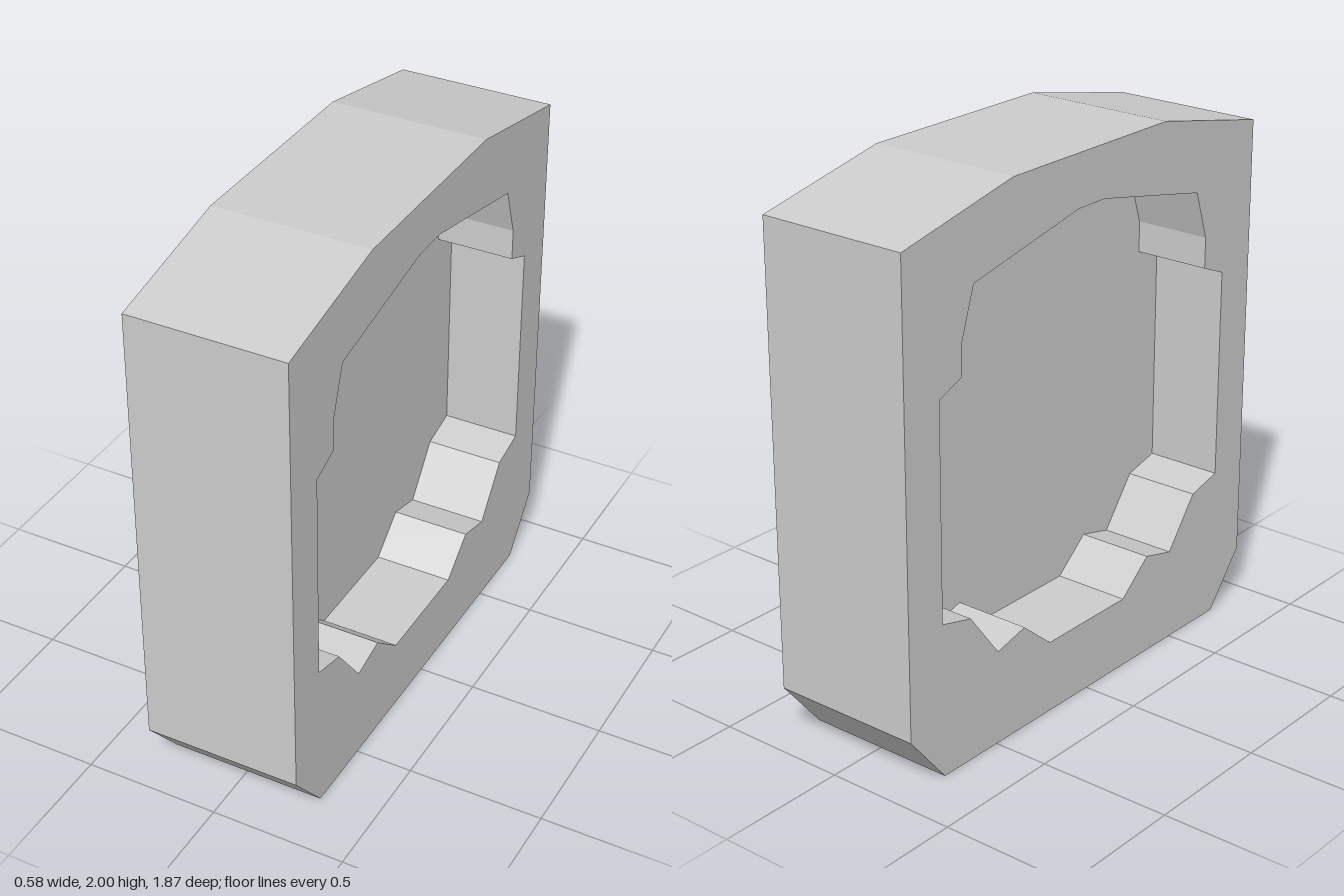
import * as THREE from 'three';

const THICKNESS = 0.58;

// Right half of each outline, from bottom to top
const OUTER = [[0.77, 0], [0.935, 0.2], [0.935, 1.89], [0.405, 2]];
const OPENING = [
  [0.21, 0.27], [0.35, 0.387], [0.49, 0.352], [0.63, 0.535], [0.77, 0.57],
  [0.77, 1.36], [0.66, 1.405], [0.66, 1.52], [0.6, 1.7], [0.07, 1.81],
];

// Closes a half outline by mirroring it
function mirrored(half) {
  const other = half.map(([u, v]) => [-u, v]).reverse();
  return [...half, ...other].map(([u, v]) => new THREE.Vector2(u, v));
}

export function createModel() {
  const group = new THREE.Group();
  group.name = 'recessedBlock';

  // Thick surround with a notched opening
  const outline = new THREE.Shape(mirrored(OUTER));
  outline.holes.push(new THREE.Path(mirrored(OPENING)));
  const frameGeometry = new THREE.ExtrudeGeometry(outline, { depth: THICKNESS, bevelEnabled: false });
  frameGeometry.translate(0, 0, -THICKNESS / 2).rotateY(Math.PI / 2);
  const frame = new THREE.Mesh(
    frameGeometry,
    new THREE.MeshStandardMaterial({ color: 0xcccccc, flatShading: true })
  );
  frame.name = 'frame';
  group.add(frame);

  // Thin panel halfway through, forming the floor of both recesses
  const panelGeometry = new THREE.ShapeGeometry(new THREE.Shape(mirrored(OPENING)));
  panelGeometry.rotateY(Math.PI / 2);
  const panel = new THREE.Mesh(
    panelGeometry,
    new THREE.MeshStandardMaterial({ color: 0xcccccc, flatShading: true, side: THREE.DoubleSide })
  );
  panel.name = 'centrePanel';
  group.add(panel);

  return group;
}
